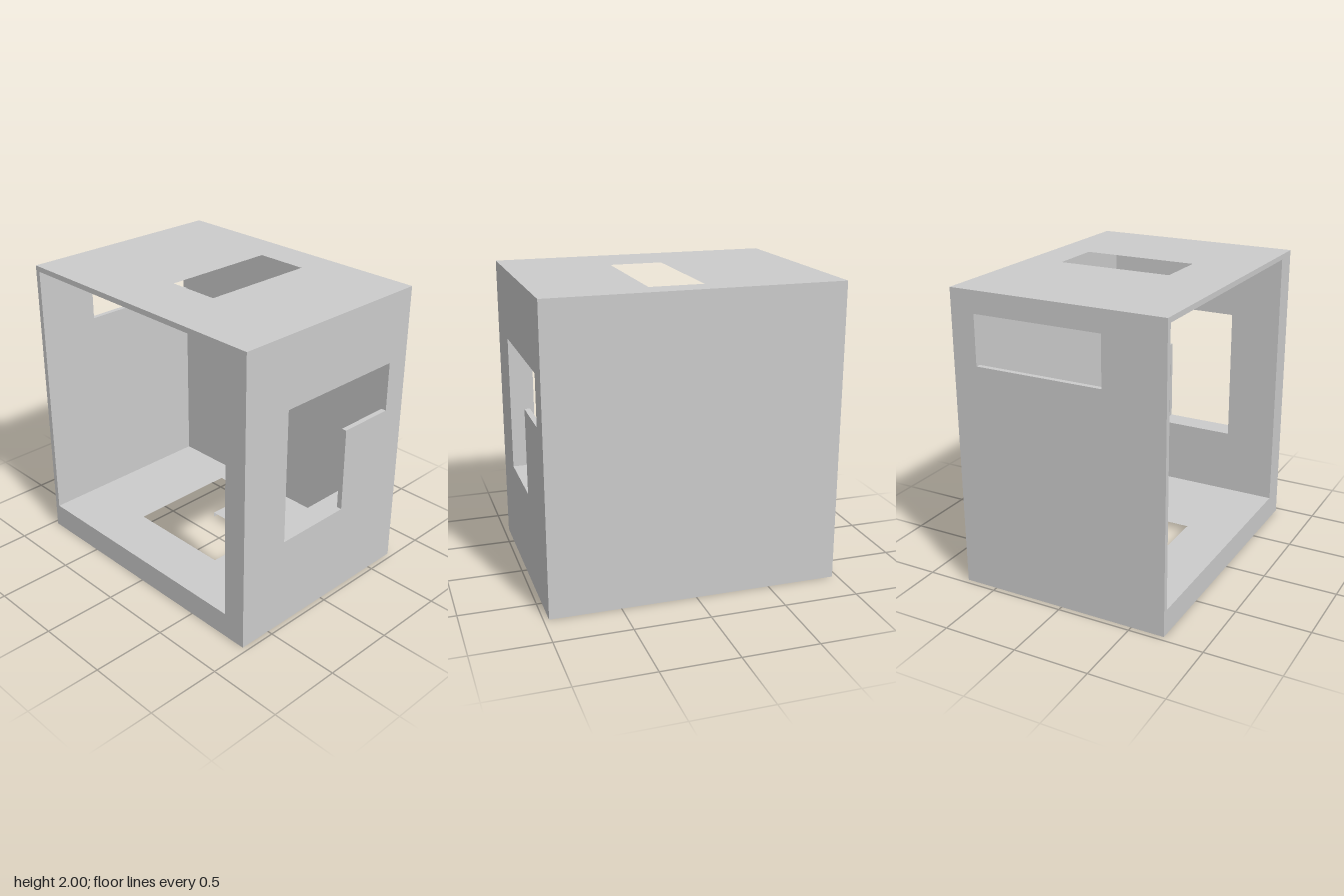
import * as THREE from 'three';

const material = new THREE.MeshStandardMaterial({ color: 0xcccccc });

// Overall half sizes, wall thicknesses and inner faces
const W = 0.965, D = 0.725, H = 2;
const SKIN = 0.035;
const FLOOR = 0.17, CEILING = H - SKIN;
const INNER_LEFT = 0.805, INNER_RIGHT = -W + SKIN, INNER_BACK = -0.56;

const rect = (a0, z0, a1, z1) => [[a0, z0], [a1, z0], [a1, z1], [a0, z1]];

// Slab with one hole; points are [x, z] for a horizontal slab, [y, z] for an upright one
function slab(name, upright, outline, hole, from, to) {
  const place = ([a, z]) => upright ? new THREE.Vector2(-z, a) : new THREE.Vector2(a, -z);
  const shape = new THREE.Shape(outline.map(place));
  shape.holes.push(new THREE.Path(hole.map(place)));
  const geometry = new THREE.ExtrudeGeometry(shape, { depth: to - from, bevelEnabled: false });
  if (upright) geometry.rotateY(Math.PI / 2).translate(from, 0, 0);
  else geometry.rotateX(-Math.PI / 2).translate(0, from, 0);
  const mesh = new THREE.Mesh(geometry, material);
  mesh.name = name;
  return mesh;
}

export function createModel() {
  const group = new THREE.Group();
  group.name = 'openBox';

  const plan = rect(-W, -D, W, D);
  const side = rect(FLOOR, -D, CEILING, D);

  // Floor: rectangular pocket above a thin skin with an L-shaped opening
  const floorL = [[-0.553, INNER_BACK], [-0.23, INNER_BACK], [-0.23, -0.17],
    [0.35, -0.17], [0.35, 0.375], [-0.553, 0.375]];
  group.add(slab('floorSkin', false, plan, floorL, 0, SKIN));
  group.add(slab('floorPocket', false, plan, rect(-0.553, INNER_BACK, 0.35, 0.375), SKIN, FLOOR));

  // Left wall: the same pocket and L-shaped opening, turned upright
  const wallL = [[1.53, INNER_BACK], [1.53, 0.375], [0.62, 0.375],
    [0.62, -0.165], [1.195, -0.165], [1.195, INNER_BACK]];
  group.add(slab('leftWallSkin', true, side, wallL, W - SKIN, W));
  group.add(slab('leftWallPocket', true, side, rect(0.62, INNER_BACK, 1.53, 0.375), INNER_LEFT, W - SKIN));

  // Thin right wall and top, each with a rectangular window
  group.add(slab('rightWall', true, side, rect(1.525, INNER_BACK, 1.855, 0.31), -W, INNER_RIGHT));
  group.add(slab('top', false, plan, rect(-0.09, INNER_BACK, 0.265, 0.305), CEILING, H));

  // Thick solid back between the walls
  const back = new THREE.Mesh(
    new THREE.BoxGeometry(INNER_LEFT - INNER_RIGHT, CEILING - FLOOR, INNER_BACK + D), material);
  back.position.set((INNER_LEFT + INNER_RIGHT) / 2, (CEILING + FLOOR) / 2, (INNER_BACK - D) / 2);
  back.name = 'backWall';
  group.add(back);

  return group;
}
